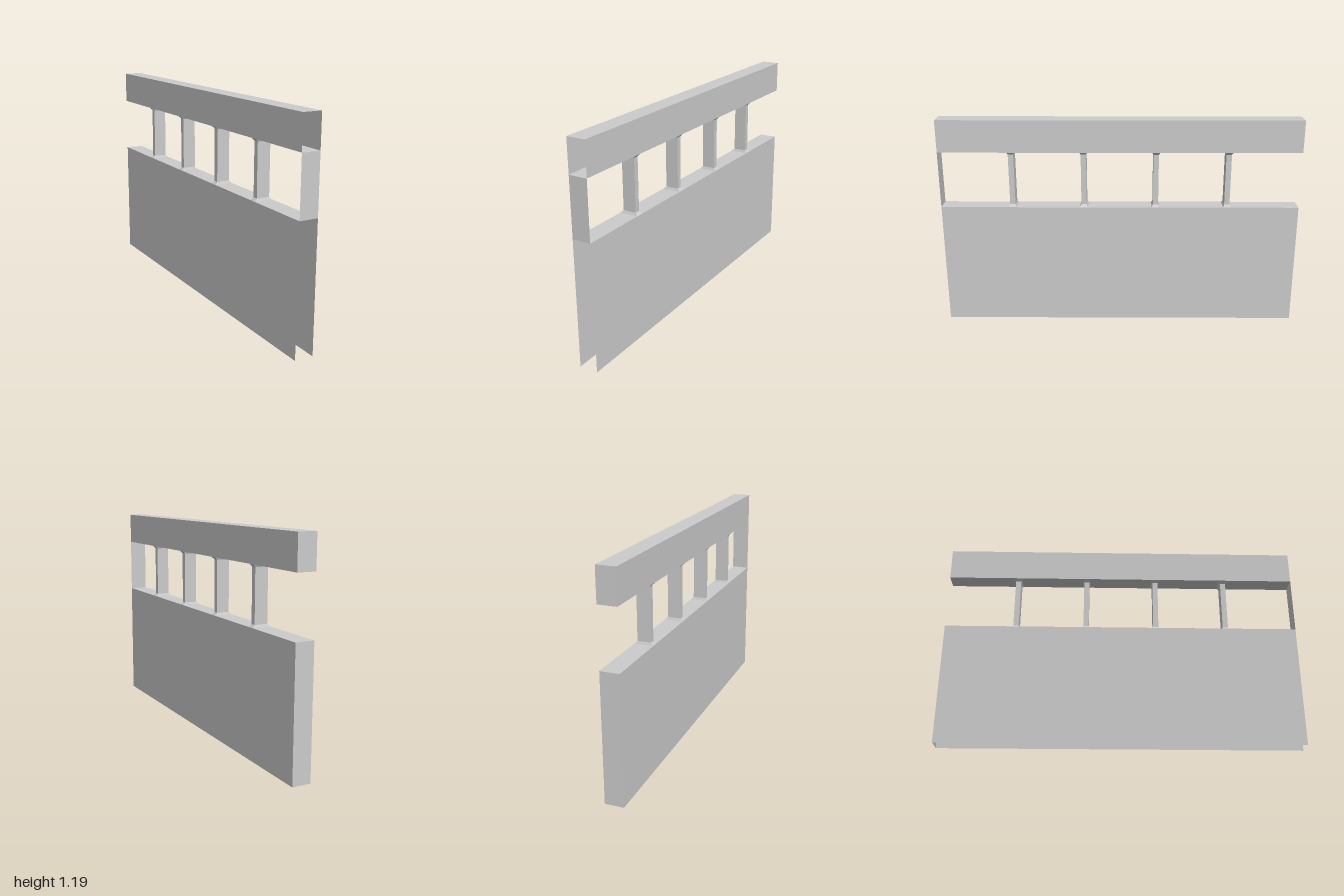
import * as THREE from 'three';

const WIDTH = 0.102, LENGTH = 2;
const WALL_TOP = 0.69, RAIL_BOTTOM = 1.005, RAIL_TOP = 1.185;
const GAP = RAIL_BOTTOM - WALL_TOP;

// Box shell with some sides left out (0..5 = +x, -x, +y, -y, +z, -z)
function openBox(w, h, d, missing) {
  const geometry = new THREE.BoxGeometry(w, h, d);
  const index = Array.from(geometry.index.array);
  geometry.setIndex(index.filter((_, i) => !missing.includes(Math.floor(i / 6))));
  geometry.clearGroups();
  return geometry;
}

// Slim rectangular post whose two ends flare out to the width of the wall
function postGeometry() {
  const w = 0.073, d = 0.03, flareW = 0.1, flareD = 0.043, flareH = 0.014;
  const geometry = new THREE.BoxGeometry(w, GAP, d, 1, 3, 1);
  const p = geometry.attributes.position;
  for (let i = 0; i < p.count; i++) {
    const y = p.getY(i);
    if (Math.abs(y) > GAP * 0.4) {
      p.setX(i, Math.sign(p.getX(i)) * flareW / 2);
      p.setZ(i, Math.sign(p.getZ(i)) * flareD / 2);
    } else {
      p.setY(i, Math.sign(y) * (GAP / 2 - flareH));
    }
  }
  geometry.computeVertexNormals();
  return geometry;
}

export function createModel() {
  const model = new THREE.Group();
  model.name = 'railingWall';
  const material = new THREE.MeshStandardMaterial({
    color: 0xcccccc, flatShading: true, side: THREE.DoubleSide,
  });
  const add = (name, geometry, y, z = 0) => {
    const mesh = new THREE.Mesh(geometry, material);
    mesh.name = name;
    mesh.position.set(0, y, z);
    model.add(mesh);
  };

  // Parapet wall, open underneath and at the front end
  add('wall', openBox(WIDTH, WALL_TOP, LENGTH, [3, 4]), WALL_TOP / 2);

  // Top rail, open at the front end
  const railHeight = RAIL_TOP - RAIL_BOTTOM;
  add('topRail', openBox(WIDTH, railHeight, LENGTH, [4]), RAIL_BOTTOM + railHeight / 2);

  // Thin panel closing the gap at the front end
  const middle = WALL_TOP + GAP / 2;
  add('endPanel', new THREE.PlaneGeometry(WIDTH, GAP), middle, LENGTH / 2);

  // Four evenly spaced posts
  const post = postGeometry();
  for (let i = 0; i < 4; i++) add(`post${i + 1}`, post, middle, 0.6 - i * 0.4);

  return model;
}
